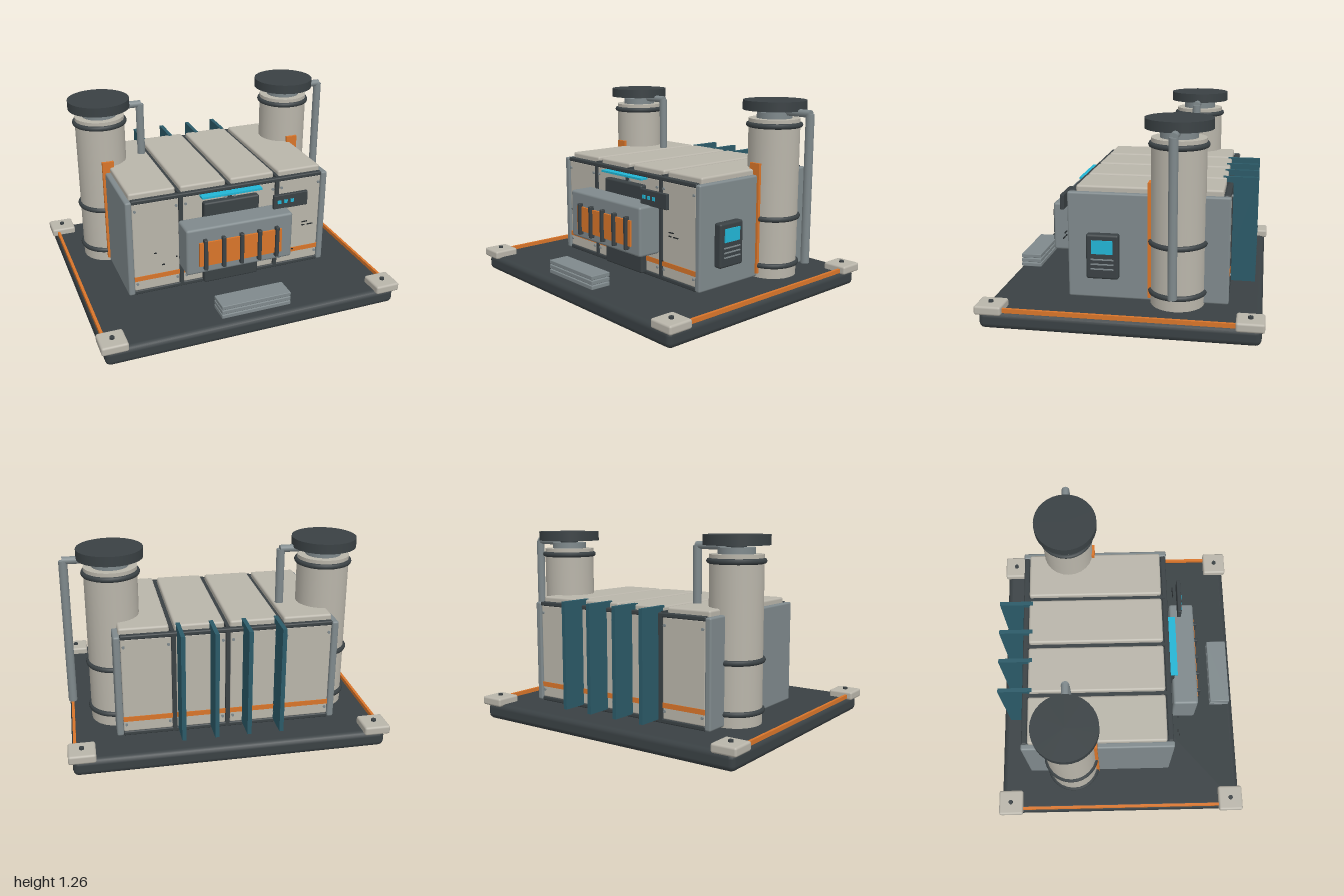
import * as THREE from 'three';
import { RoundedBoxGeometry } from 'three/addons/geometries/RoundedBoxGeometry.js';

const paint = (color) => new THREE.MeshStandardMaterial({ color });
const beige = paint(0xb9b5aa), dark = paint(0x3a4144), grey = paint(0x7f898c), orange = paint(0xd9752a);
const teal = paint(0x2b5a68), cyan = paint(0x22b5d5), black = paint(0x24292b);

export function createModel() {
  const root = new THREE.Group();

  const add = (name, geometry, material, x, y, z, parent = root) => {
    const mesh = new THREE.Mesh(geometry, material);
    mesh.name = name;
    mesh.position.set(x, y, z);
    parent.add(mesh);
    return mesh;
  };
  // Box given by its limits on each axis; r > 0 rounds the edges
  const box = (name, material, [x0, x1], [y0, y1], [z0, z1], r = 0, parent = root) => {
    const size = [x1 - x0, y1 - y0, z1 - z0];
    const geometry = r ? new RoundedBoxGeometry(...size, 2, r) : new THREE.BoxGeometry(...size);
    return add(name, geometry, material, (x0 + x1) / 2, (y0 + y1) / 2, (z0 + z1) / 2, parent);
  };
  const cylinder = (name, material, r, y0, y1, x, z, parent = root, sides = 24) =>
    add(name, new THREE.CylinderGeometry(r, r, y1 - y0, sides), material, x, (y0 + y1) / 2, z, parent);
  const group = (name, x = 0, z = 0) => {
    const g = new THREE.Group();
    g.name = name;
    g.position.set(x, 0, z);
    root.add(g);
    return g;
  };

  // Base slab, corner pads and edge strips
  box('base', dark, [-0.975, 0.975], [0, 0.108], [-0.838, 0.838], 0.035);
  for (const sx of [-1, 1]) {
    box('edgeStrip', orange, [sx * 0.957 - 0.009, sx * 0.957 + 0.009], [0.105, 0.132], [-0.72, 0.72]);
    for (const sz of [-1, 1]) {
      const pad = group('cornerPad', sx * 0.917, sz * 0.772);
      box('pad', beige, [-0.083, 0.083], [0.095, 0.152], [-0.083, 0.083], 0.014, pad);
      cylinder('padBolt', dark, 0.015, 0.15, 0.165, 0, 0, pad, 12);
    }
  }

  // Body core and end plates
  box('bodyCore', dark, [-0.655, 0.655], [0.13, 0.785], [-0.61, 0.322]);
  for (const s of [-1, 1])
    box('endPlate', grey, [s * 0.674 - 0.021, s * 0.674 + 0.021], [0.132, 0.795], [-0.635, 0.348], 0.012);

  // Front and back cladding: panels, stripe, bolts, frame bars
  for (const [side, faceZ, s] of [['front', 0.322, 1], ['back', -0.61, -1]]) {
    const wall = group(side + 'Wall', 0, faceZ);
    const span = (a, b) => (s > 0 ? [a, b] : [-b, -a]);
    for (const x of [-0.5, -0.167, 0.167, 0.5]) {
      box('wallPanel', beige, [x - 0.152, x + 0.152], [0.155, 0.775], span(-0.01, 0.014), 0.008, wall);
      box('wallStripe', orange, [x - 0.152, x + 0.152], [0.225, 0.257], span(0, 0.018), 0, wall);
      for (const dx of [-0.135, 0.135])
        for (const y of [0.205, 0.725]) {
          const bolt = add('wallBolt', new THREE.CylinderGeometry(0.009, 0.009, 0.012, 8), grey, x + dx, y, s * 0.017, wall);
          bolt.rotation.x = Math.PI / 2;
        }
    }
    for (const x of [-0.334, 0, 0.334])
      box('seamBar', dark, [x - 0.013, x + 0.013], [0.135, 0.79], span(-0.01, 0.02), 0, wall);
    for (const y of [0.143, 0.785])
      box('frameBar', dark, [-0.655, 0.655], [y - 0.014, y + 0.014], span(-0.015, 0.02), 0.008, wall);
  }

  // Roof panels with ridges in the seams
  for (const x of [-0.508, -0.17, 0.17, 0.508])
    box('roofPanel', beige, [x - 0.153, x + 0.153], [0.78, 0.83], [-0.59, 0.3], 0.014);
  for (const x of [-0.339, 0, 0.339])
    box('roofRib', dark, [x - 0.011, x + 0.011], [0.78, 0.806], [-0.61, 0.325]);

  // Chimney stacks, each with a drop pipe on its +x side
  for (const s of [-1, 1]) {
    const stack = group(s > 0 ? 'leftStack' : 'rightStack', s * 0.673, -0.325);
    cylinder('stackBody', beige, 0.164, 0.125, 1.142, 0, 0, stack);
    cylinder('stackNeck', grey, 0.113, 1.142, 1.182, 0, 0, stack);
    cylinder('stackCore', dark, 0.06, 1.18, 1.2, 0, 0, stack);
    cylinder('stackCap', dark, 0.203, 1.195, 1.256, 0, 0, stack, 32);
    for (const y of [0.207, 0.513, 1.102])
      add('stackRing', new THREE.TorusGeometry(0.164, 0.017, 8, 32), dark, 0, y, 0, stack).rotation.x = Math.PI / 2;
    const arm = add('pipeArm', new THREE.CylinderGeometry(0.024, 0.024, 0.3, 12), grey, 0.135, 1.187, 0, stack);
    arm.rotation.z = Math.PI / 2;
    cylinder('dropPipe', grey, 0.027, 0.25, 1.185, 0.279, 0, stack, 12);
    box('stackBracket', orange, [s * 0.672 - 0.039, s * 0.672 + 0.039], [0.155, 0.87], [-0.166, -0.146]);
  }

  // Front hatch: backing, grey housing, grille
  box('hatchBacking', dark, [-0.19, 0.19], [0.14, 0.722], [0.32, 0.378], 0.012);
  box('hatchHousing', grey, [-0.364, 0.36], [0.315, 0.632], [0.365, 0.53], 0.016);
  box('hatchGlow', orange, [-0.283, 0.28], [0.372, 0.537], [0.52, 0.543]);
  for (let i = -2; i <= 2; i++)
    box('grilleBar', dark, [i * 0.122 - 0.012, i * 0.122 + 0.012], [0.347, 0.56], [0.525, 0.56], 0.005);
  box('lightStrip', cyan, [-0.208, 0.205], [0.759, 0.772], [0.335, 0.39]);

  // Control panel with indicator lights
  box('controlPanel', dark, [0.264, 0.505], [0.628, 0.725], [0.418, 0.444], 0.004);
  for (const x of [0.3, 0.346, 0.392])
    box('indicator', cyan, [x - 0.012, x + 0.012], [0.668, 0.69], [0.44, 0.45]);

  // Side console on the left end plate
  box('sideConsole', dark, [0.69, 0.748], [0.27, 0.55], [0.026, 0.225], 0.014);
  box('consoleScreen', cyan, [0.74, 0.753], [0.43, 0.515], [0.06, 0.19]);
  for (const y of [0.335, 0.365, 0.395])
    box('consoleSlot', grey, [0.74, 0.753], [y - 0.004, y + 0.004], [0.055, 0.195]);

  // Step in front of the hatch
  for (let i = 0; i < 3; i++)
    box('step', grey, [-0.233, 0.23], [0.137 + i * 0.031, 0.163 + i * 0.031], [0.665, 0.802], 0.004);

  // Cooling fins at the back
  for (const x of [-0.308, -0.105, 0.097, 0.3])
    box('coolingFin', teal, [x - 0.013, x + 0.013], [0.15, 0.835], [-0.785, -0.565]);

  // Small wear marks before the front wall
  for (const [x, y, w] of [[-0.53, 0.45, 0.015], [-0.48, 0.36, 0.02], [-0.39, 0.4, 0.008],
    [0.51, 0.484, 0.04], [0.55, 0.46, 0.04], [0.5, 0.46, 0.02], [0.43, 0.29, 0.012]])
    box('wearMark', black, [x - w / 2, x + w / 2], [y - 0.003, y + 0.003], [0.405, 0.412]);

  return root;
}
